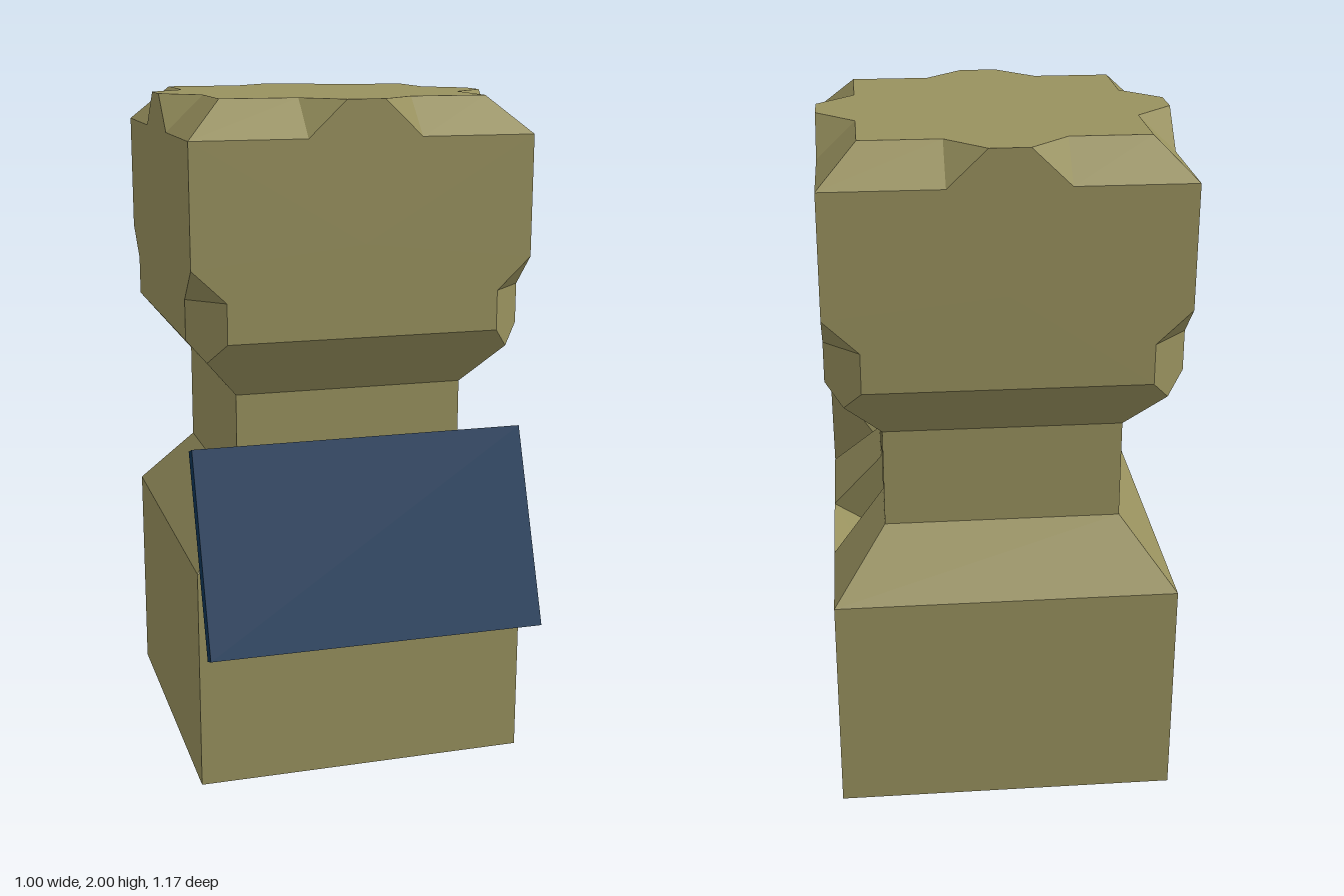
import * as THREE from 'three';

// Collects flat polygons, each given as a counter-clockwise list of corners
class Faces {
  constructor() { this.pos = []; this.turns = 0; }
  // rotate a corner about y by quarter turns
  turn([x, y, z]) {
    for (let i = 0; i < this.turns; i++) [x, z] = [z, -x];
    return [x, y, z];
  }
  poly(...pts) {
    for (let i = 1; i < pts.length - 1; i++)
      for (const p of [pts[0], pts[i], pts[i + 1]]) this.pos.push(...this.turn(p));
  }
  // polygon plus its mirror image across x
  pair(...pts) {
    this.poly(...pts);
    this.poly(...pts.map(mirror).reverse());
  }
  mesh(name, material) {
    const g = new THREE.BufferGeometry();
    g.setAttribute('position', new THREE.Float32BufferAttribute(this.pos, 3));
    g.computeVertexNormals();
    const m = new THREE.Mesh(g, material);
    m.name = name;
    return m;
  }
}
const mirror = ([x, y, z]) => [-x, y, z];
// quad symmetric in x, from lower half-width corner to upper one
const strip = (f, lo, hi) => f.poly(mirror(lo), lo, hi, mirror(hi));

export function createModel() {
  const stone = new THREE.MeshStandardMaterial({ color: 0x98915e });
  stone.name = 'olive stone';
  const blue = new THREE.MeshStandardMaterial({ color: 0x0f3658 });
  blue.name = 'dark blue';
  const pale = new THREE.MeshStandardMaterial({ color: 0xdadada });
  pale.name = 'pale grey';

  const model = new THREE.Group();
  const body = new THREE.Group();
  body.name = 'body';
  body.position.z = -0.085;
  model.add(body);

  const W = 0.5, N = 0.345; // half widths of the block and of the neck
  const base = new Faces(), neck = new Faces(), head = new Faces();
  const recess = new Faces(), lining = new Faces();

  // Recess corners: outer rim (a, b, c) and inner lining (A, B, C)
  const a = [0.115, 1.15, N], b = [0.115, 0.855, N], c = [0.165, 0.667, W];
  const A = [0.115, 1.09, 0.18], B = [0.115, 0.8, 0.18], C = [0.175, 0.565, 0.35];

  for (let k = 0; k < 4; k++) {
    for (const f of [base, neck, head, recess, lining]) f.turns = k;

    // Base block with sloped shoulder, then the neck
    strip(base, [W, 0, W], [W, 0.667, W]);
    if (k !== 1) {
      strip(base, [W, 0.667, W], [N, 0.855, N]);
      strip(neck, [N, 0.855, N], [N, 1.15, N]);
    } else {
      // the left side is split around the recess
      base.pair(c, [W, 0.667, W], [N, 0.855, N], b);
      neck.pair(b, [N, 0.855, N], [N, 1.15, N], a);
      recess.pair(A, B, b, a);
      recess.pair(B, C, c, b);
      recess.poly(a, mirror(a), mirror(A), A);
      recess.poly(mirror(c), c, C, mirror(C));
      strip(lining, B, A);
      strip(lining, C, B);
    }

    // Flared underside of the head
    head.poly([-N, 1.15, N], [N, 1.15, N], [0.45, 1.274, 0.45], [0.4, 1.333, W],
      [-0.4, 1.333, W], [-0.45, 1.274, 0.45]);
    // Head wall
    const half = [[0.4, 1.333, W], [0.4, 1.45, W], [W, 1.545, W], [W, 1.895, W],
      [0.165, 1.895, W], [0.055, 2, W]];
    const outline = [...half, ...half.map(mirror).reverse()];
    outline.forEach((p, i) => head.poly([0, 1.6, W], p, outline[(i + 1) % outline.length]));
    // Chipped lower corner
    head.poly([0.4, 1.333, W], [0.45, 1.274, 0.45], [W, 1.333, 0.4], [W, 1.45, 0.4], [0.4, 1.45, W]);
    head.poly([0.4, 1.45, W], [W, 1.45, 0.4], [W, 1.545, W]);
    // Chamfered top corners
    head.pair([0.165, 1.895, W], [W, 1.895, W], [0.39, 2, 0.39], [0.165, 2, 0.39]);
    head.pair([0.055, 2, W], [0.165, 1.895, W], [0.165, 2, 0.39]);
    // Top, one quarter
    const rim = [[-0.055, 2, W], [0.055, 2, W], [0.165, 2, 0.39], [0.39, 2, 0.39],
      [0.39, 2, 0.165], [W, 2, 0.055]];
    for (let i = 0; i < rim.length - 1; i++) head.poly([0, 2, 0], rim[i], rim[i + 1]);
  }
  base.turns = 0;
  base.poly([-W, 0, -W], [W, 0, -W], [W, 0, W], [-W, 0, W]);

  body.add(base.mesh('base', stone), neck.mesh('neck', stone), head.mesh('head', stone),
    recess.mesh('recessWalls', stone), lining.mesh('recessLining', pale));

  // Tilted front panel
  const panel = new THREE.Mesh(new THREE.BoxGeometry(1, 0.6, 0.05), blue);
  panel.name = 'frontPanel';
  panel.position.set(0, 0.738, 0.456);
  panel.rotation.x = -0.375;
  model.add(panel);

  // Tapered mount joining the panel back to the body
  const mount = new Faces();
  const T = [W, 1.006, 0.321], U = [W, 0.45, 0.542];
  const t = [0.25, 0.7, 0.36], u = [0.25, 0.62, 0.36];
  mount.pair(T, U, u, t);
  mount.poly(T, t, mirror(t), mirror(T));
  mount.poly(u, U, mirror(U), mirror(u));
  model.add(mount.mesh('panelMount', stone));

  return model;
}
